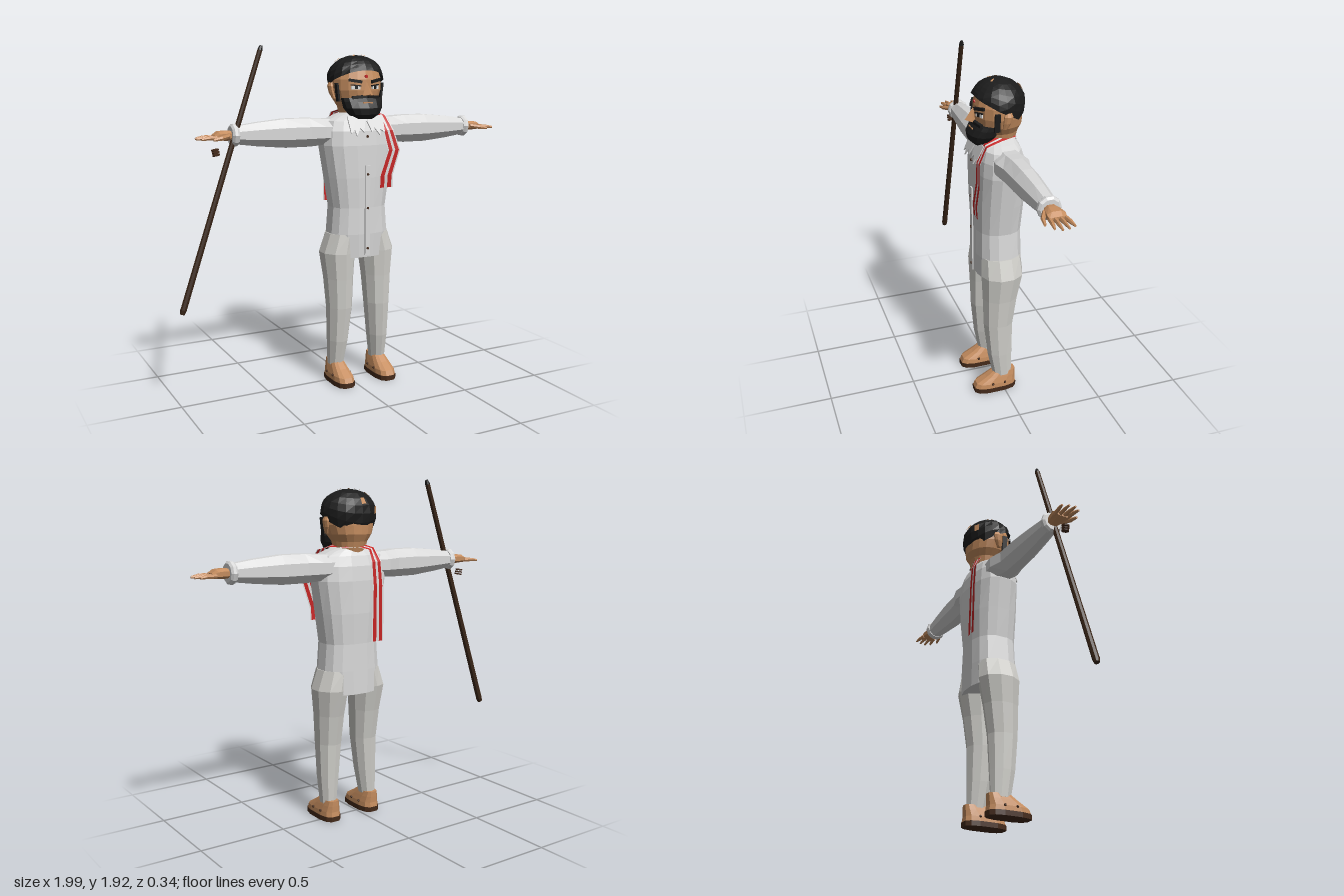
import * as THREE from 'three';

const CX = 0.0625; // centre line of the body
const mat = (name, color, side = THREE.DoubleSide) => Object.assign(new THREE.MeshStandardMaterial({ color, side }), { name });
const cloth = mat('white cloth', 0xd8d8d8);
const trouser = mat('trouser cloth', 0xcfcec9);
const skin = mat('skin', 0xc58d5f);
const hair = mat('black hair', 0x1c1c1c);
const red = mat('red stripe', 0xc42222);
const wood = mat('dark wood', 0x3a2618);
const sole = mat('sole brown', 0x442a1a);
const white = mat('eye white', 0xf0f0ee);

function add(parent, name, geometry, material, pos = [0, 0, 0], rot = [0, 0, 0]) {
  const flat = geometry.index ? geometry.toNonIndexed() : geometry;
  flat.computeVertexNormals();
  const mesh = new THREE.Mesh(flat, material);
  mesh.name = name;
  mesh.position.set(...pos);
  mesh.rotation.set(...rot);
  parent.add(mesh);
  return mesh;
}

// Faceted surface from point(column, row); faces outward when columns turn from +x to +z
function grid(cols, rows, point) {
  const p = [], idx = [], w = cols + 1;
  for (let j = 0; j <= rows; j++) for (let i = 0; i <= cols; i++) p.push(...point(i, j));
  for (let j = 0; j < rows; j++) for (let i = 0; i < cols; i++) {
    const a = j * w + i, b = a + 1, c = a + w, d = c + 1;
    idx.push(a, c, b, b, c, d);
  }
  const g = new THREE.BufferGeometry();
  g.setAttribute('position', new THREE.Float32BufferAttribute(p, 3));
  g.setIndex(idx);
  return g;
}

// Closed loft through rings [y, cx, cz, rx, rz], listed from bottom to top
function loft(rings, sides, power = 2) {
  const first = rings[0], last = rings[rings.length - 1];
  const all = [[...first.slice(0, 3), 0, 0], ...rings, [...last.slice(0, 3), 0, 0]];
  const bend = v => Math.sign(v) * Math.abs(v) ** (2 / power);
  return grid(sides, all.length - 1, (i, j) => {
    const a = ((i % sides) + 0.5) / sides * Math.PI * 2;
    const [y, cx, cz, rx, rz] = all[j];
    return [cx + rx * bend(Math.cos(a)), y, cz + rz * bend(Math.sin(a))];
  });
}

function addLeg(parent, s) {
  const leg = new THREE.Group();
  leg.name = s > 0 ? 'leftLeg' : 'rightLeg';
  leg.position.x = CX;
  parent.add(leg);
  add(leg, 'trouserLeg', loft([
    [0.1, s * 0.137, 0.002, 0.045, 0.058], [0.25, s * 0.13, 0.015, 0.06, 0.075],
    [0.45, s * 0.122, 0.022, 0.074, 0.088], [0.62, s * 0.122, 0.012, 0.085, 0.103],
    [0.77, s * 0.123, 0, 0.102, 0.122], [0.88, s * 0.1, 0, 0.085, 0.115]], 10), trouser);
  const x = s * 0.135;
  add(leg, 'sole', loft([[0, x, 0.05, 0.061, 0.13], [0.028, x, 0.05, 0.061, 0.13]], 12, 3), sole);
  add(leg, 'shoe', loft([[0.028, x, 0.05, 0.058, 0.128], [0.055, x, 0.046, 0.056, 0.12],
    [0.09, x, 0.015, 0.047, 0.09], [0.12, x, -0.007, 0.038, 0.068]], 12, 3), skin);
  for (const side of [-1, 1]) for (const z of [0, 0.075])
    add(leg, 'shoeStud', new THREE.IcosahedronGeometry(0.009, 0), sole, [x + side * 0.054, 0.055, z]);
}

// Arm built along local y, then turned out sideways
function addArm(parent, s) {
  const arm = new THREE.Group();
  arm.name = s > 0 ? 'leftArm' : 'rightArm';
  arm.position.set(CX, 1.455, -0.012);
  arm.rotation.z = -s * Math.PI / 2;
  parent.add(arm);
  add(arm, 'sleeve', loft([[0.13, 0, -0.005, 0.075, 0.09], [0.22, 0, -0.005, 0.078, 0.1],
    [0.3, 0, 0, 0.084, 0.08], [0.44, 0, 0, 0.084, 0.075], [0.6, 0, 0, 0.068, 0.062],
    [0.725, 0, 0, 0.05, 0.05]], 8), cloth);
  add(arm, 'cuff', loft([[0.708, 0, 0, 0.055, 0.055], [0.72, 0, 0, 0.062, 0.062],
    [0.735, 0, 0, 0.062, 0.062], [0.745, 0, 0, 0.05, 0.05]], 10), cloth);
  const drop = s * 0.008;
  add(arm, 'palm', loft([[0.73, 0, 0, 0.025, 0.03], [0.77, 0, 0, 0.028, 0.042],
    [0.815, 0, 0, 0.024, 0.05], [0.84, drop, 0, 0.014, 0.046]], 8, 2.5), skin);
  [-0.04, -0.014, 0.013, 0.038].forEach((z, i) => {
    const tip = [0.915, 0.93, 0.935, 0.915][i];
    add(arm, 'finger', loft([[0.82, drop, z * 0.95, 0.013, 0.012], [0.88, drop, z * 1.15, 0.011, 0.011],
      [tip, drop * 1.6, z * 1.3, 0.006, 0.006]], 6), skin);
  });
  add(arm, 'thumb', loft([[0.76, 0, 0.035, 0.013, 0.014], [0.81, drop, 0.064, 0.013, 0.012],
    [0.86, drop * 2, 0.073, 0.007, 0.007]], 6), skin);
}

function addTunic(parent) {
  const tunic = new THREE.Group();
  tunic.name = 'tunic';
  tunic.position.x = CX;
  parent.add(tunic);
  add(tunic, 'tunicBody', loft([
    [0.745, 0, -0.005, 0.165, 0.128], [0.88, 0, 0, 0.178, 0.132], [1.03, 0, 0, 0.165, 0.13],
    [1.2, 0, -0.003, 0.192, 0.138], [1.38, 0, -0.005, 0.222, 0.138], [1.46, 0, -0.005, 0.218, 0.13],
    [1.515, 0, -0.005, 0.198, 0.112], [1.54, 0, -0.01, 0.14, 0.092], [1.56, 0, -0.015, 0.08, 0.078]], 16, 2.5), cloth);
  add(tunic, 'placket', new THREE.BoxGeometry(0.03, 0.51, 0.008), cloth, [0, 1.015, 0.137]);
  for (const [y, z] of [[0.8, 0.142], [1.03, 0.142], [1.22, 0.142], [1.43, 0.136]])
    add(tunic, 'button', new THREE.CylinderGeometry(0.007, 0.007, 0.008, 8), sole, [0, y, z], [Math.PI / 2, 0, 0]);
  // Pointed collar flaps
  for (const s of [-1, 1]) {
    const flap = new THREE.Shape([[0.005, 0.04], [0.025, -0.025], [0.045, 0], [0.072, -0.045],
      [0.08, -0.01], [0.105, -0.03], [0.11, 0.07], [0.04, 0.075]].map(([x, y]) => new THREE.Vector2(s * x, y)));
    add(tunic, 'collarFlap', new THREE.ExtrudeGeometry(flap, { depth: 0.006, bevelEnabled: false }), cloth,
      [0, 1.475, 0.128], [-0.42, 0, 0]);
  }
}

// Striped scarf: each point is a centre and a half-width vector
function addScarf(parent) {
  const path = [
    [0.172, 1.14, 0.148, 0.044, 0, 0], [0.172, 1.21, 0.153, 0.043, 0, 0], [0.222, 1.35, 0.152, 0.04, 0, 0],
    [0.192, 1.46, 0.14, 0.034, 0, 0], [0.172, 1.545, 0.092, 0.028, -0.005, 0], [0.155, 1.57, 0, 0.024, -0.012, 0],
    [0.12, 1.572, -0.08, 0.016, -0.014, -0.014], [0.05, 1.572, -0.1, 0.005, -0.014, -0.018],
    [-0.02, 1.55, -0.115, 0.026, -0.006, -0.01], [-0.03, 1.48, -0.148, 0.034, 0, 0],
    [-0.035, 1.35, -0.158, 0.036, 0, 0], [-0.03, 1.04, -0.162, 0.04, 0, 0]];
  const scarf = new THREE.Group();
  scarf.name = 'scarf';
  parent.add(scarf);
  const edges = [-1, -0.8, -0.22, 0.22, 0.8, 1];
  for (let k = 0; k < 5; k++) {
    const strip = grid(1, path.length - 1, (i, j) => {
      const p = path[j], e = edges[k + i];
      return [p[0] + p[3] * e, p[1] + p[4] * e, p[2] + p[5] * e];
    });
    add(scarf, k % 2 ? 'scarfStripe' : 'scarfCloth', strip, k % 2 ? red : cloth);
  }
}

function addHead(parent) {
  const head = new THREE.Group();
  head.name = 'head';
  head.position.x = CX;
  parent.add(head);
  add(head, 'skull', loft([
    [1.53, 0, -0.025, 0.085, 0.08], [1.59, 0, -0.02, 0.1, 0.1], [1.63, 0, -0.015, 0.128, 0.125],
    [1.68, 0, -0.012, 0.144, 0.13], [1.74, 0, -0.012, 0.146, 0.13], [1.79, 0, -0.015, 0.13, 0.12],
    [1.83, 0, -0.015, 0.09, 0.09]], 18), skin);
  // Hair cap, low at the nape and high over the forehead
  const hairPoint = (a, v, grow = 0) => {
    const low = 1.715 + 0.075 * Math.sin(a);
    const y = low + (1.872 - low) * Math.sin(v * Math.PI / 2);
    const r = y > 1.75 ? Math.sqrt(Math.max(0, 1 - ((y - 1.75) / 0.122) ** 2)) : 1 - 0.25 * ((1.75 - y) / 0.115) ** 2;
    const k = r * (1 + 0.02 * Math.sin(a * 7 + v * 9));
    return [(0.161 + grow) * k * Math.cos(a), y + grow * v, -0.012 + (0.143 + grow) * k * Math.sin(a)];
  };
  add(head, 'hair', grid(20, 7, (i, j) => hairPoint((i % 20) / 20 * Math.PI * 2, j / 7)), hair);
  // Small bare patches on the hair
  for (const [a, v] of [[4.55, 0.45], [4.0, 0.25], [3.3, 0.55], [3.5, 0.76], [2.1, 0.72], [0.85, 0.7]])
    add(head, 'barePatch', grid(1, 1, (i, j) => hairPoint(a + i * 0.2, v + j * 0.13, 0.006)), skin);

  add(head, 'beard', loft([
    [1.525, 0, 0.095, 0.05, 0.03], [1.55, 0, 0.092, 0.09, 0.06], [1.585, 0, 0.078, 0.113, 0.078],
    [1.62, 0, 0.068, 0.12, 0.068], [1.64, 0, 0.058, 0.12, 0.062]], 14, 2.3), hair);
  add(head, 'nose', new THREE.ConeGeometry(0.032, 0.075, 4), skin, [0, 1.69, 0.13], [-0.22, 0, 0]);
  add(head, 'lips', new THREE.BoxGeometry(0.06, 0.008, 0.008), skin, [0, 1.615, 0.135]);
  add(head, 'foreheadDot', new THREE.CylinderGeometry(0.009, 0.009, 0.008, 8), red, [0, 1.757, 0.117], [Math.PI / 2, 0, 0]);
  for (const s of [-1, 1]) {
    add(head, 'eye', new THREE.BoxGeometry(0.05, 0.018, 0.008), white, [s * 0.06, 1.697, 0.108], [0, s * 0.4, 0]);
    add(head, 'pupil', new THREE.BoxGeometry(0.017, 0.018, 0.006), hair, [s * 0.058, 1.698, 0.113], [0, s * 0.4, 0]);
    add(head, 'eyelid', new THREE.BoxGeometry(0.06, 0.006, 0.009), hair, [s * 0.06, 1.709, 0.11], [0, s * 0.4, s * 0.1]);
    add(head, 'eyebrow', new THREE.BoxGeometry(0.075, 0.016, 0.012), hair, [s * 0.063, 1.733, 0.11], [0, s * 0.45, s * 0.15]);
    add(head, 'moustache', new THREE.BoxGeometry(0.085, 0.016, 0.02), hair, [s * 0.04, 1.646, 0.116], [0, s * 0.3, -s * 0.1]);
    add(head, 'sideburn', new THREE.BoxGeometry(0.012, 0.1, 0.03), hair, [s * 0.136, 1.67, 0.035], [0, 0, -s * 0.12]);
    add(head, 'ear', loft([[1.635, s * 0.138, -0.005, 0.01, 0.012], [1.67, s * 0.148, -0.015, 0.014, 0.022],
      [1.705, s * 0.154, -0.02, 0.014, 0.026], [1.725, s * 0.15, -0.02, 0.01, 0.018]], 8), skin);
  }
}

function addStaff(parent) {
  const staff = new THREE.Group();
  staff.name = 'staff';
  staff.position.set(-0.742, 1.22, 0.005);
  staff.rotation.z = -Math.atan2(0.475, 1.4);
  parent.add(staff);
  add(staff, 'staffShaft', new THREE.CylinderGeometry(0.014, 0.018, 1.43, 8), wood);
  add(staff, 'staffTop', new THREE.CylinderGeometry(0.008, 0.015, 0.025, 8), hair, [0, 0.727, 0]);
  add(staff, 'staffFoot', new THREE.CylinderGeometry(0.019, 0.014, 0.025, 8), wood, [0, -0.727, 0]);
  // Loose binding rings beside the grip
  for (let i = -1; i <= 1; i++)
    add(parent, 'bindingRing', new THREE.CylinderGeometry(0.021, 0.021, 0.008, 8), sole,
      [-0.77 - i * 0.003, 1.37 + i * 0.013, 0.005], [0, 0, 0.2]);
}

export function createModel() {
  const model = new THREE.Group();
  model.name = 'figure';
  for (const s of [-1, 1]) {
    addLeg(model, s);
    addArm(model, s);
  }
  addTunic(model);
  addScarf(model);
  addHead(model);
  addStaff(model);
  return model;
}
